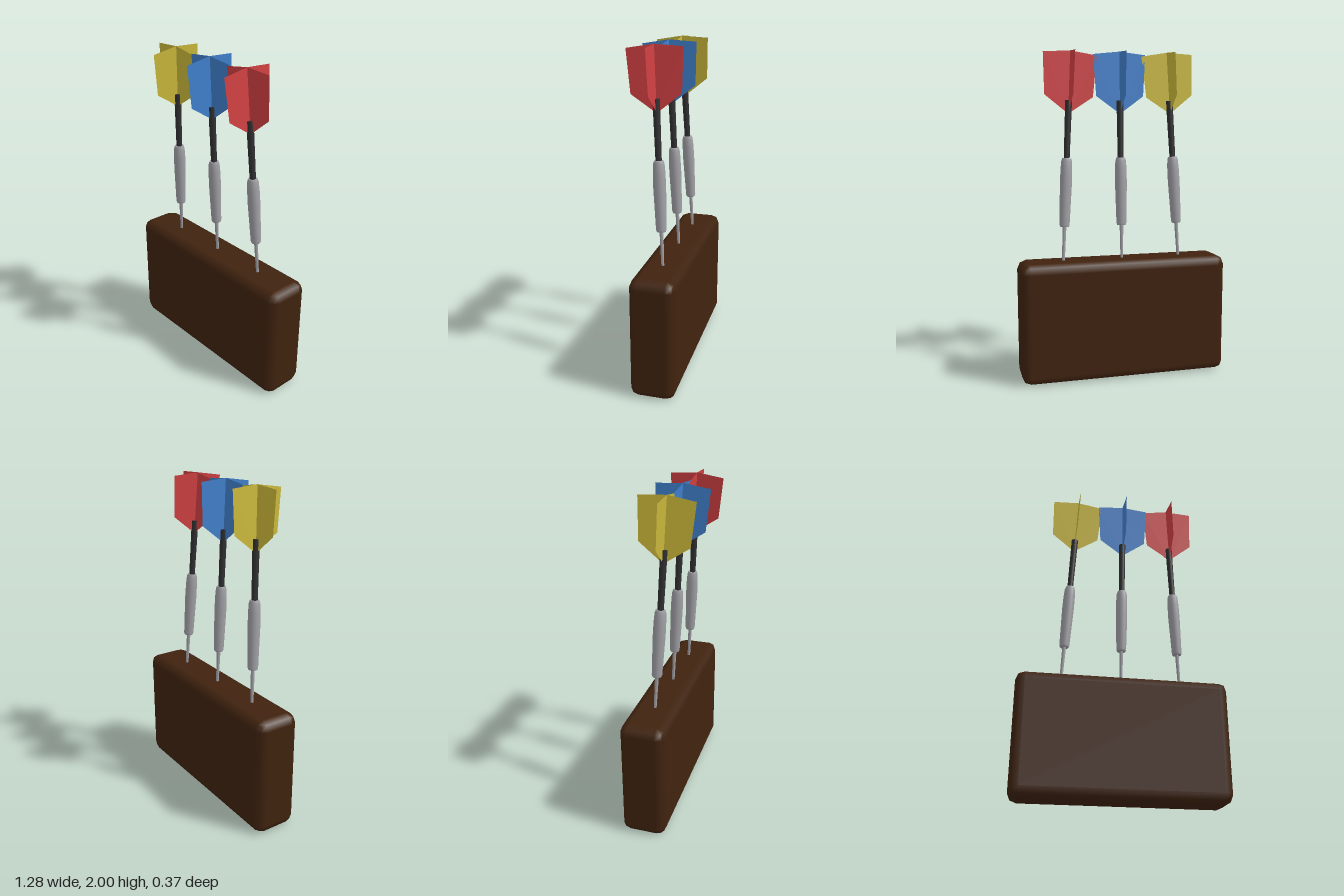
import * as THREE from 'three';
import { RoundedBoxGeometry } from 'three/addons/geometries/RoundedBoxGeometry.js';

function material(name, color, side = THREE.FrontSide) {
  const m = new THREE.MeshStandardMaterial({ color, side });
  m.name = name;
  return m;
}

function part(name, geometry, mat) {
  const mesh = new THREE.Mesh(geometry, mat);
  mesh.name = name;
  return mesh;
}

// Turned part from [radius, y] pairs, bottom to top
function turned(points) {
  return new THREE.LatheGeometry(points.map(([r, y]) => new THREE.Vector2(r, y)), 16);
}

export function createModel() {
  const model = new THREE.Group();
  model.name = 'dartStand';

  const wood = material('dark brown wood', 0x40230f);
  const metal = material('grey metal', 0xa0a0a6);
  const black = material('black shaft', 0x303032);
  const flights = [
    material('yellow flight', 0xcab83a, THREE.DoubleSide),
    material('blue flight', 0x4080cc, THREE.DoubleSide),
    material('red flight', 0xd04042, THREE.DoubleSide),
  ];

  // Block with rounded edges
  const block = part('block', new RoundedBoxGeometry(1.285, 0.74, 0.275, 1, 0.055), wood);
  block.position.set(0, 0.37, -0.0475);
  model.add(block);

  // Dart parts, measured downward from the top of the flight
  const tipGeo = new THREE.CylinderGeometry(0.012, 0.008, 0.29, 12);
  tipGeo.translate(0, -1.185, 0);
  const barrelGeo = turned([
    [0, -1.057], [0.027, -1.057], [0.027, -1.057], [0.031, -1.045], [0.034, -0.92],
    [0.037, -0.8], [0.036, -0.71], [0.033, -0.66], [0.027, -0.641], [0.027, -0.641], [0, -0.641],
  ]);
  const shaftGeo = new THREE.CylinderGeometry(0.021, 0.018, 0.36, 16);
  shaftGeo.translate(0, -0.475, 0);

  // One flat vane spans both sides of the shaft
  const vane = new THREE.Shape([
    [0, -0.375], [0.148, -0.268], [0.164, -0.018], [0, 0], [-0.164, -0.018], [-0.148, -0.268],
  ].map(([x, y]) => new THREE.Vector2(x, y)));
  const vaneGeo = new THREE.ShapeGeometry(vane);

  ['rightDart', 'middleDart', 'leftDart'].forEach((name, i) => {
    const s = i - 1;
    const dart = new THREE.Group();
    dart.name = name;
    dart.add(part('tip', tipGeo, metal), part('barrel', barrelGeo, metal), part('shaft', shaftGeo, black));
    for (const turn of [0, Math.PI / 2]) {
      const fin = part('flight', vaneGeo, flights[i]);
      fin.rotation.y = turn;
      dart.add(fin);
    }
    // Outer darts lean inward, all lean slightly forward
    dart.position.set(s * 0.302, 2, 0.018);
    dart.rotation.set(0.05, 0, s * 0.053);
    model.add(dart);
  });

  return model;
}
